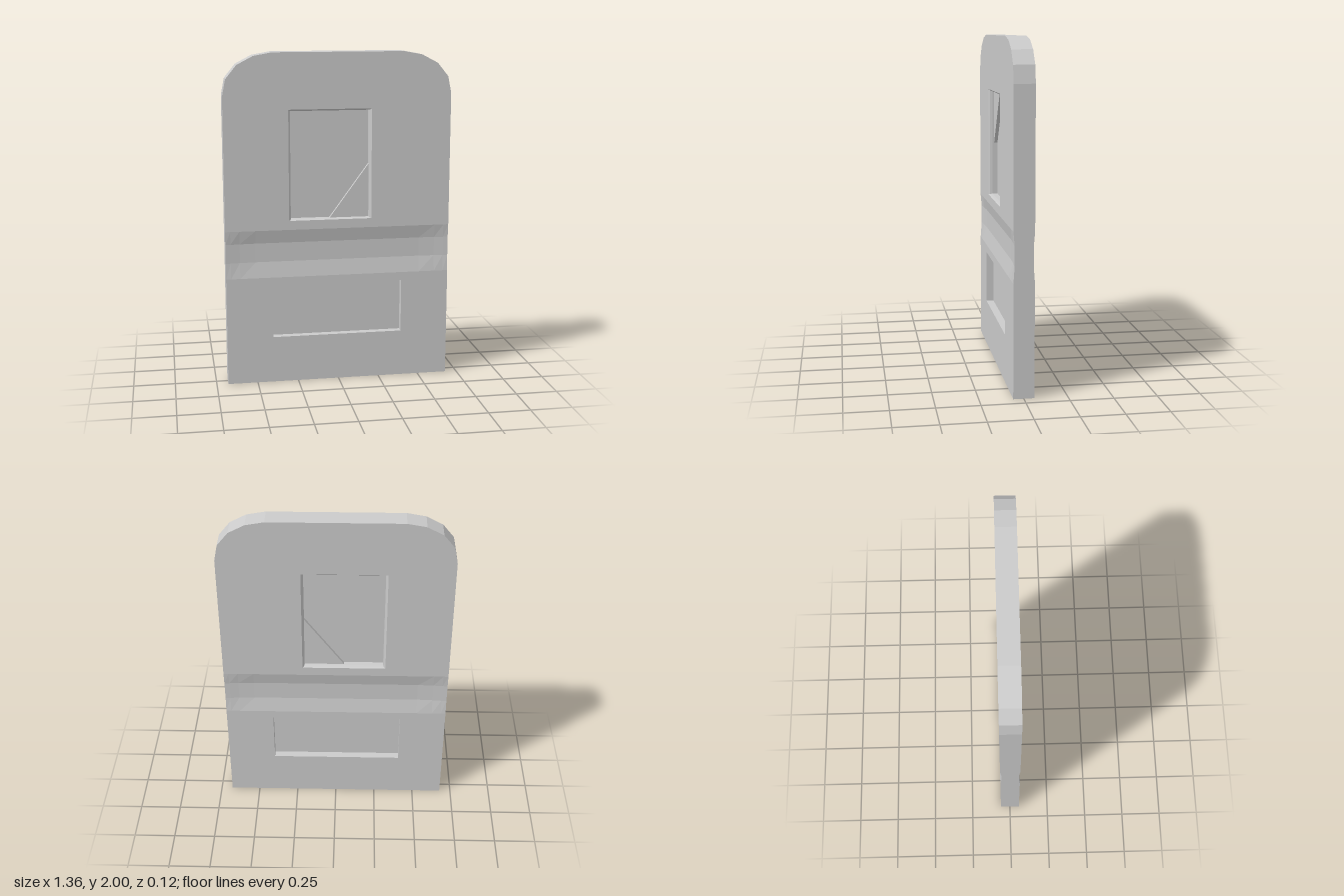
import * as THREE from 'three';

const HALF_T = 0.06; // half the door thickness
const BAND_LOW = 0.66, BAND_HIGH = 0.95;
const material = new THREE.MeshStandardMaterial({ color: 0xcccccc, flatShading: true });

const toPoints = (list) => list.map(([x, y]) => new THREE.Vector2(x, y));
const rect = (x0, y0, x1, y1) => [[x0, y0], [x1, y0], [x1, y1], [x0, y1]];

function addMesh(group, name, geometry) {
  const mesh = new THREE.Mesh(geometry, material);
  mesh.name = name;
  group.add(mesh);
}

// Flat plate centred on z = 0, with an optional hole
function plate(outline, halfDepth, hole) {
  const shape = new THREE.Shape(toPoints(outline));
  if (hole) shape.holes.push(new THREE.Path(toPoints(hole)));
  const geometry = new THREE.ExtrudeGeometry(shape, { depth: halfDepth * 2, bevelEnabled: false });
  return geometry.translate(0, 0, -halfDepth);
}

// Lip around an opening, joining rectangular loops; side is 1 (front) or -1 (back)
function lip(loops, side) {
  const positions = [];
  for (let i = 0; i < loops.length - 1; i++) {
    for (let k = 0; k < 4; k++) {
      const n = (k + 1) % 4;
      const corner = (loop, j) => [...loop.points[j], loop.z * side];
      const a = corner(loops[i], k), b = corner(loops[i], n);
      const c = corner(loops[i + 1], n), d = corner(loops[i + 1], k);
      const quad = side > 0 ? [a, b, c, a, c, d] : [a, c, b, a, d, c];
      positions.push(...quad.flat());
    }
  }
  const geometry = new THREE.BufferGeometry();
  geometry.setAttribute('position', new THREE.Float32BufferAttribute(positions, 3));
  geometry.computeVertexNormals();
  return geometry;
}

// Waist band: a box whose middle rows are pinched, deeper towards the centre
function waistBand() {
  const columns = [-0.68, -0.65, -0.595, -0.5, 0.5, 0.595, 0.65, 0.68];
  const depths = [0.053, 0.051, 0.047, 0.043];
  const rows = [BAND_LOW, 0.755, 0.87, BAND_HIGH];
  const geometry = new THREE.BoxGeometry(7, 3, 2, 7, 3, 1);
  const p = geometry.attributes.position;
  for (let i = 0; i < p.count; i++) {
    const col = Math.round(p.getX(i) + 3.5);
    const row = Math.round(p.getY(i) + 1.5);
    const pinched = row === 1 || row === 2;
    const z = pinched ? depths[Math.min(col, 7 - col)] : HALF_T;
    p.setXYZ(i, columns[col], rows[row], Math.sign(p.getZ(i)) * z);
  }
  const flat = geometry.toNonIndexed();
  flat.computeVertexNormals();
  return flat;
}

export function createModel() {
  const door = new THREE.Group();
  door.name = 'door';

  // Upper part with rounded shoulders and the window opening
  const shoulder = [[0.68, 1.75], [0.66, 1.85], [0.595, 1.93], [0.5, 1.98], [0.39, 2]];
  const upper = [
    [-0.68, BAND_HIGH], [0.68, BAND_HIGH], ...shoulder,
    ...shoulder.map(([x, y]) => [-x, y]).reverse(),
  ];
  const opening = rect(-0.298, 1.005, 0.2, 1.668);
  addMesh(door, 'upperDoor', plate(upper, HALF_T, opening));

  // Waist band and lower part with the panel opening
  addMesh(door, 'waistBand', waistBand());
  const panel = rect(-0.4, 0.285, 0.39, 0.61);
  addMesh(door, 'lowerDoor', plate(rect(-0.68, 0, 0.68, BAND_LOW), HALF_T, panel));
  addMesh(door, 'lowerPanel', plate(panel, 0.015));

  // Bevelled window lip on both faces
  const [x0, y0, x1, y1] = [-0.285, 1.01, 0.188, 1.657];
  const loops = [
    { points: opening, z: HALF_T },
    { points: rect(-0.289, 1.008, 0.191, 1.66), z: 0.05 },
    { points: rect(x0, y0, x1, y1), z: 0.035 },
    { points: rect(x0, y0, x1, y1), z: 0 },
  ];
  addMesh(door, 'windowLipFront', lip(loops, 1));
  addMesh(door, 'windowLipBack', lip(loops, -1));

  // Window pane: thin diagonal band between two thicker corners
  const mx = -0.048, my = 1.333;
  addMesh(door, 'paneBand', plate([[x0, y0], [mx, y0], [x1, my], [x1, y1], [mx, y1], [x0, my]], 0.004));
  addMesh(door, 'paneCornerTop', plate([[x0, my], [mx, y1], [x0, y1]], 0.025));
  addMesh(door, 'paneCornerBottom', plate([[mx, y0], [x1, y0], [x1, my]], 0.025));

  return door;
}
